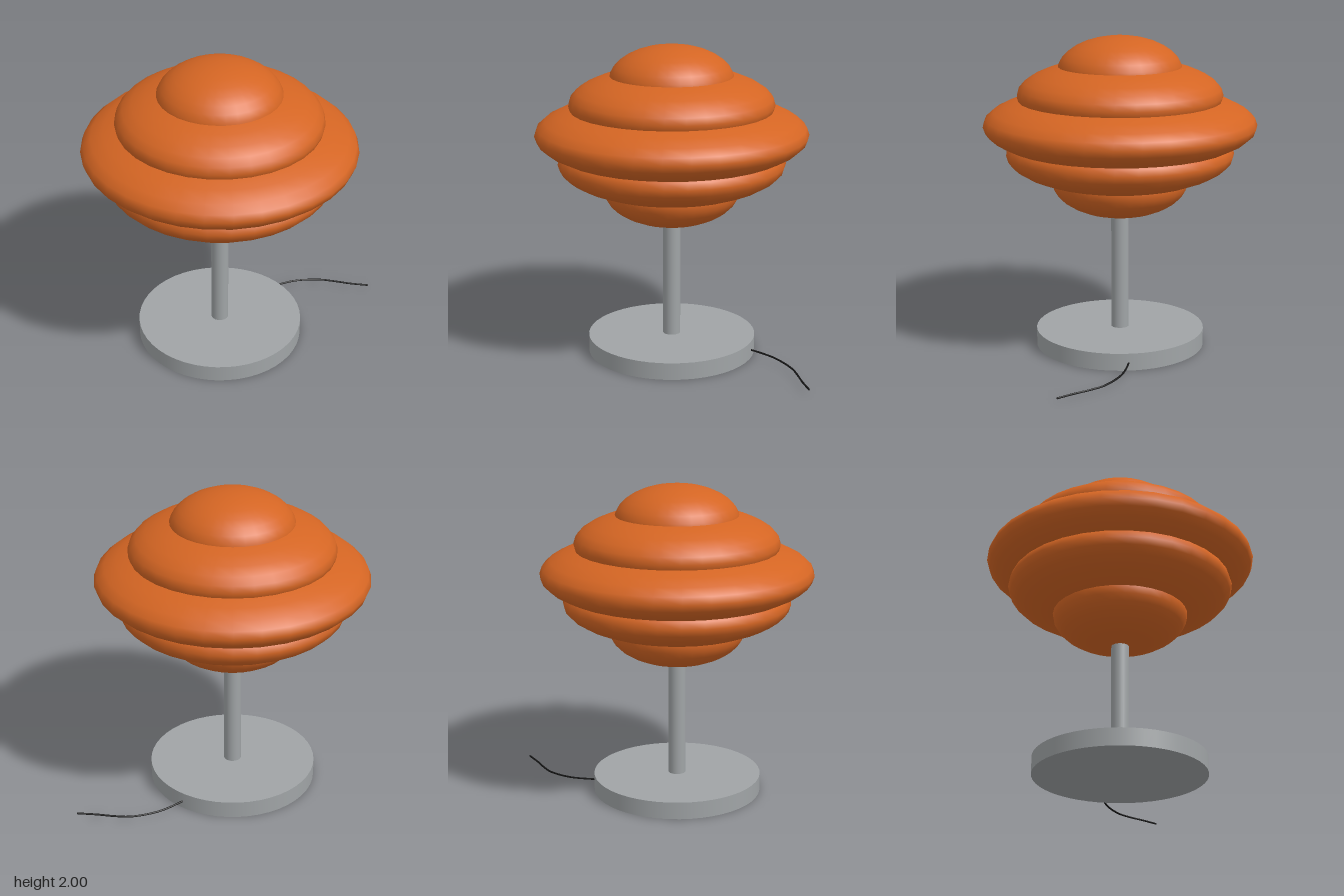
import * as THREE from 'three';

const material = (name, color) => {
  const m = new THREE.MeshStandardMaterial({ color });
  m.name = name;
  return m;
};

export function createModel() {
  const orange = material('orange shade', 0xd46523);
  const grey = material('grey metal', 0xa0a4a6);
  const black = material('black cord', 0x161616);

  const lamp = new THREE.Group();
  lamp.name = 'tableLamp';
  const add = (name, geometry, mat, y = 0, parent = lamp) => {
    const mesh = new THREE.Mesh(geometry, mat);
    mesh.name = name;
    mesh.position.y = y;
    parent.add(mesh);
    return mesh;
  };

  // Stand: round foot and slim stem
  add('base', new THREE.CylinderGeometry(0.54, 0.54, 0.11, 48), grey, 0.055);
  add('stem', new THREE.CylinderGeometry(0.056, 0.056, 0.8, 24), grey, 0.5);

  // Shade: stacked squashed spheres [name, radius, half height, centre height]
  const shade = new THREE.Group();
  shade.name = 'shade';
  lamp.add(shade);
  const tiers = [
    ['shadeBottom', 0.43, 0.22, 1.075],
    ['shadeLower', 0.72, 0.225, 1.26],
    ['shadeMiddle', 0.862, 0.23, 1.445],
    ['shadeUpper', 0.647, 0.225, 1.63],
    ['shadeTop', 0.392, 0.22, 1.78],
  ];
  for (const [name, radius, halfHeight, y] of tiers) {
    const dome = new THREE.SphereGeometry(1, 32, 16).scale(radius, halfHeight, radius);
    add(name, dome, orange, y, shade);
  }

  // Cord leaving the back of the base
  const path = new THREE.CatmullRomCurve3([
    [0.19, 0.05, -0.43], [0.235, 0.048, -0.49], [0.36, 0.038, -0.612], [0.52, 0.03, -0.688],
    [0.62, 0.029, -0.702], [0.74, 0.03, -0.708], [0.86, 0.032, -0.722],
  ].map((p) => new THREE.Vector3(...p)));
  add('cord', new THREE.TubeGeometry(path, 40, 0.006, 8), black);
  const plug = add('cordEnd', new THREE.SphereGeometry(0.006, 8, 6), black);
  plug.position.copy(path.getPoint(1));

  return lamp;
}
